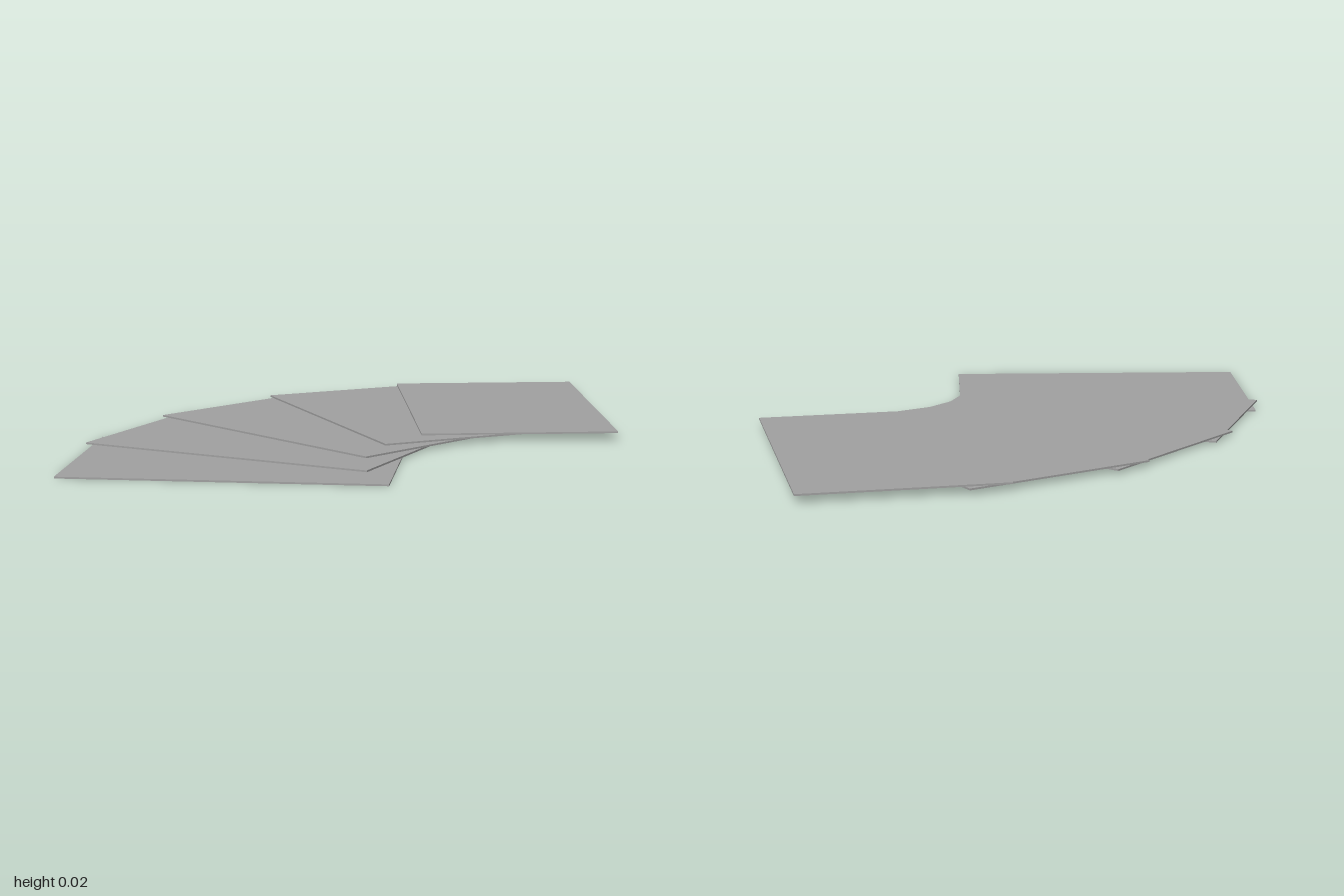
import * as THREE from 'three';

export function createModel() {
  const group = new THREE.Group();
  group.name = 'cardFan';
  const grey = new THREE.MeshStandardMaterial({ color: 0xa0a0a0 });
  grey.name = 'card grey';

  const pitch = 0.005, thickness = 0.0048;
  const radius = 0.797, pivotZ = 0.672;
  const card = new THREE.BoxGeometry(0.55, thickness, 0.86);

  // Five overlapping cards, each 20 degrees further and one layer higher
  for (let i = 0; i < 5; i++) {
    const angle = THREE.MathUtils.degToRad((i - 2) * 20);
    const mesh = new THREE.Mesh(card, grey);
    mesh.name = `card${i + 1}`;
    mesh.position.set(
      radius * Math.sin(angle),
      thickness / 2 + i * pitch,
      pivotZ - radius * Math.cos(angle)
    );
    mesh.rotation.y = -angle;
    group.add(mesh);
  }
  return group;
}
